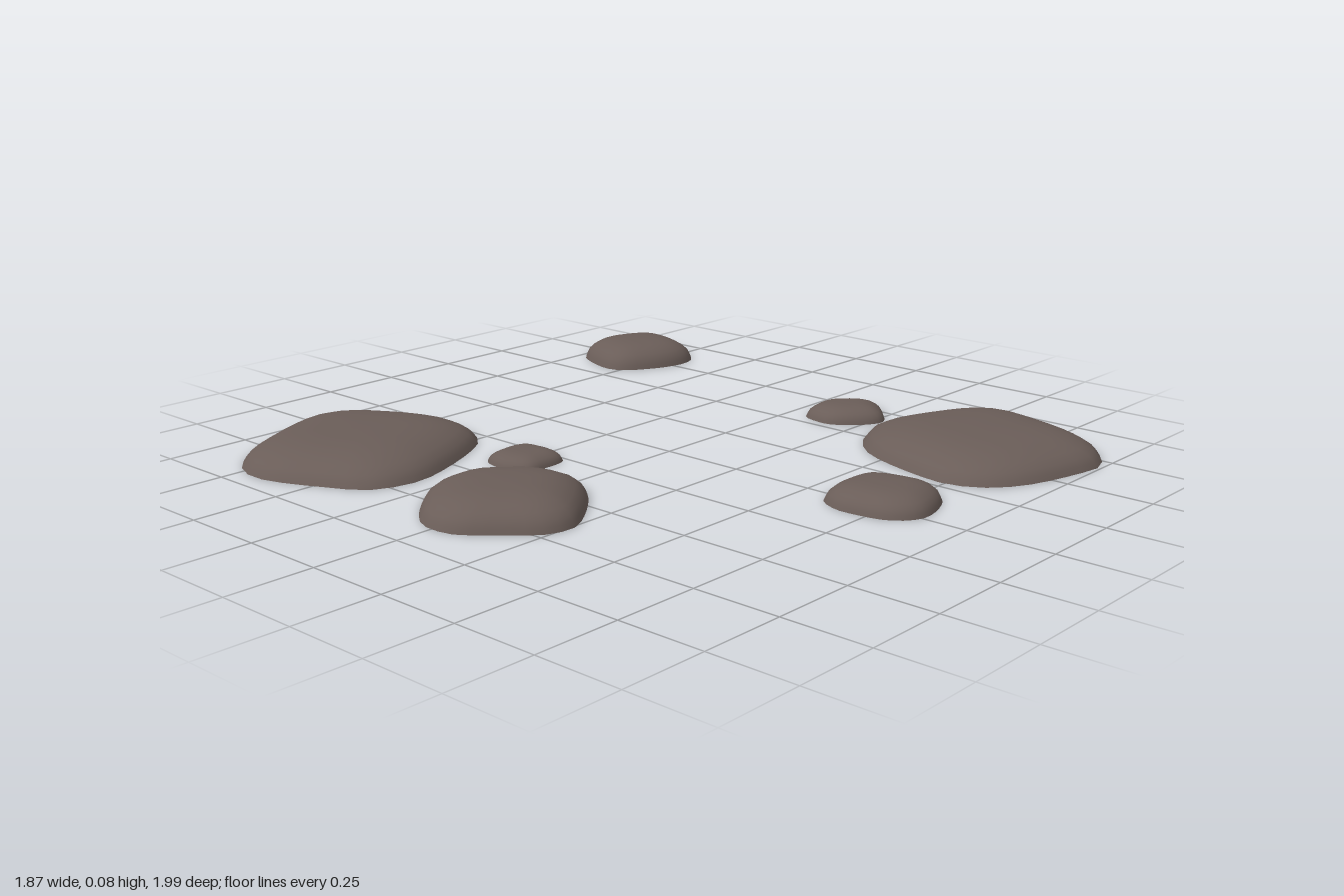
import * as THREE from 'three';

const SEGMENTS = 32;
// Dome section from rim to crown: [share of outline, share of height]
const PROFILE = [[1, 0], [0.97, 0.2], [0.925, 0.42], [0.84, 0.62], [0.72, 0.79], [0.58, 0.91], [0.4, 0.98], [0.2, 1]];

const material = new THREE.MeshStandardMaterial({ color: 0x6a5d58, side: THREE.DoubleSide });

// Low domed stone, open underneath; outline is x, z pairs in hundredths
function stone(name, height, outline) {
  const points = [];
  for (let i = 0; i < outline.length; i += 2) {
    points.push(new THREE.Vector3(outline[i] / 100, 0, outline[i + 1] / 100));
  }
  const rim = new THREE.CatmullRomCurve3(points, true).getSpacedPoints(SEGMENTS).slice(0, SEGMENTS);
  const centre = new THREE.Box3().setFromPoints(rim).getCenter(new THREE.Vector3());

  // Rings of the dome, then the crown point
  const positions = [];
  for (const [scale, rise] of PROFILE) {
    for (const p of rim) {
      positions.push((p.x - centre.x) * scale, height * rise, (p.z - centre.z) * scale);
    }
  }
  positions.push(0, height, 0);

  const index = [];
  const last = PROFILE.length - 1;
  const crown = PROFILE.length * SEGMENTS;
  for (let i = 0; i < SEGMENTS; i++) {
    const next = (i + 1) % SEGMENTS;
    for (let j = 0; j < last; j++) {
      const a = j * SEGMENTS + i, b = j * SEGMENTS + next;
      index.push(a, a + SEGMENTS, b, b, a + SEGMENTS, b + SEGMENTS);
    }
    index.push(last * SEGMENTS + i, crown, last * SEGMENTS + next);
  }

  const geometry = new THREE.BufferGeometry();
  geometry.setAttribute('position', new THREE.Float32BufferAttribute(positions, 3));
  geometry.setIndex(index);
  geometry.computeVertexNormals();
  const mesh = new THREE.Mesh(geometry, material);
  mesh.name = name;
  mesh.position.copy(centre);
  return mesh;
}

export function createModel() {
  const group = new THREE.Group();
  group.name = 'steppingStones';

  // Large slabs
  group.add(stone('largeBackStone', 0.075, [-52, -98, -42, -94, -35, -85, -27, -69, -26, -58, -30, -48, -60, -33,
    -69, -32, -80, -36, -86, -46, -93, -62, -94, -70, -90, -80, -81, -87]));
  group.add(stone('largeFrontStone', 0.075, [53, 32, 62, 33, 80, 40, 89, 46, 93, 54, 92, 63, 85, 85, 79, 94,
    69, 99, 61, 98, 41, 92, 32, 85, 28, 76, 29, 66, 36, 45, 43, 37]));

  // Medium stones
  group.add(stone('mediumSideStone', 0.075, [-66, -22, -57, -21, -51, -16, -43, -7, -41, 2, -42, 8, -57, 22,
    -65, 26, -73, 24, -78, 19, -88, 7, -89, 2, -88, -5, -75, -19]));
  group.add(stone('mediumBackStone', 0.072, [72, -100, 80, -98, 91, -92, 93, -87, 93, -83, 88, -69, 84, -66,
    79, -65, 70, -67, 59, -74, 57, -79, 58, -85, 64, -97]));

  // Small stones
  group.add(stone('smallFrontStone', 0.055, [9, 57, 15, 59, 17, 63, 19, 72, 19, 78, 15, 83, 3, 87, -2, 86,
    -7, 81, -9, 72, -9, 66, -5, 59]));
  group.add(stone('smallSideStone', 0.045, [66, 5, 69, 7, 75, 14, 76, 19, 74, 22, 66, 28, 62, 27, 56, 22,
    53, 17, 53, 13, 55, 7, 60, 5]));
  group.add(stone('smallestStone', 0.035, [-37, -33, -29, -33, -26, -31, -25, -25, -25, -20, -27, -16, -35, -15,
    -40, -16, -43, -22, -43, -28, -41, -32]));

  return group;
}
